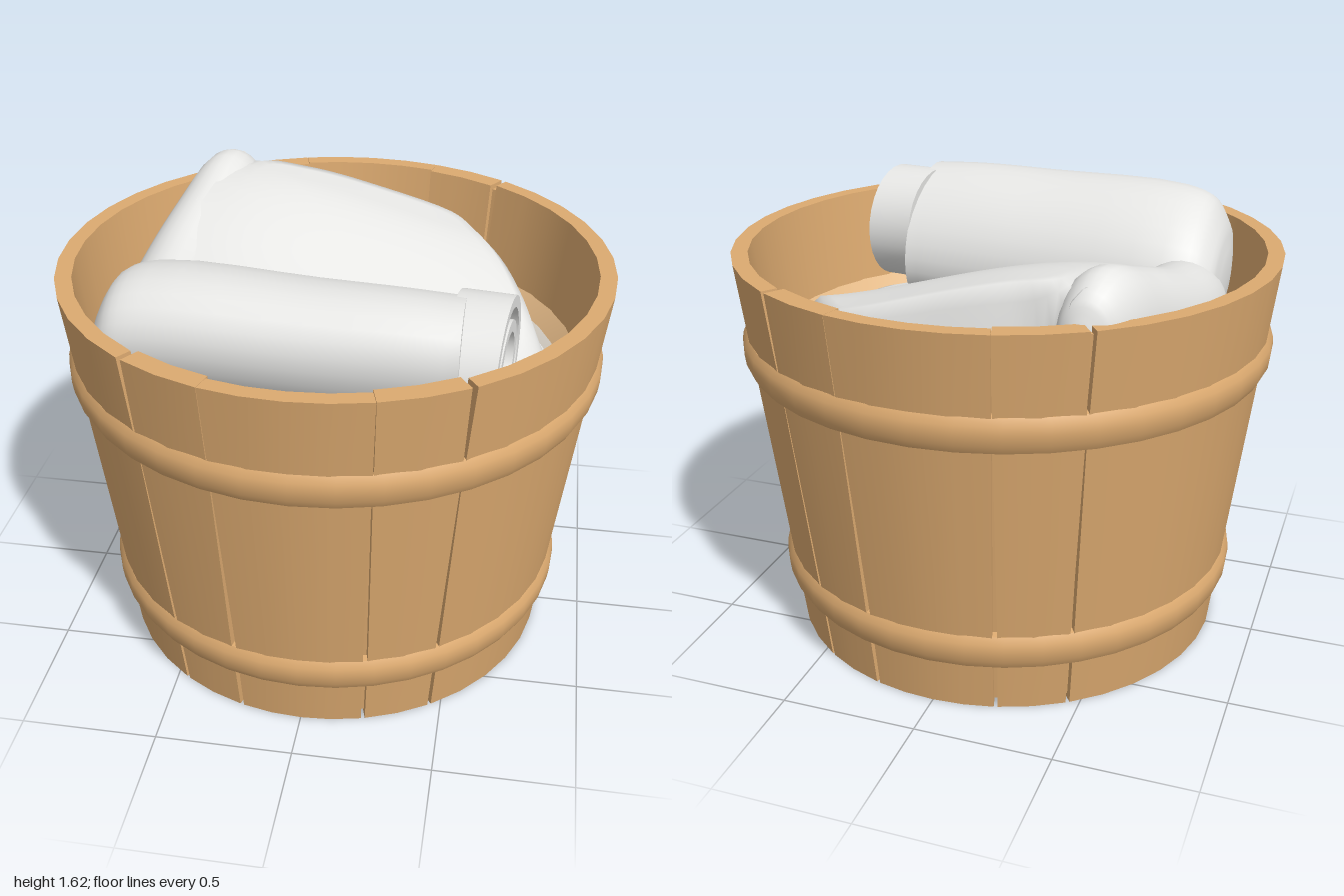
import * as THREE from 'three';
import { toCreasedNormals } from 'three/addons/utils/BufferGeometryUtils.js';

const mat = (name, color, side = THREE.FrontSide) => {
  const m = new THREE.MeshStandardMaterial({ color, side });
  m.name = name;
  return m;
};
const smooth = (a, b, v) => THREE.MathUtils.smoothstep(v, a, b);
const outerR = (y) => 0.82 + 0.122 * y;

function indexed(pos, idx, crease) {
  const g = new THREE.BufferGeometry();
  g.setAttribute('position', new THREE.Float32BufferAttribute(pos, 3));
  g.setIndex(idx);
  g.computeVertexNormals();
  return crease ? toCreasedNormals(g, crease) : g;
}

// Half-widths of the cracks (degrees) from bottom to top: open at the rim, or closed there
const openCrack = [0.5, 0.45, 0.15, 0.6], closedCrack = [0.5, 0.6, 0.12, 0.04];

// Curved board between two angles (degrees), with a tapering crack at each end
function staveGeometry(a0, a1, thick, crack0, crack1) {
  const ys = [0.01, 0.32, 1.07, 1.48];
  const loop = ys.map((y, k) => [outerR(y), y, k]);
  for (let k = 3; k >= 0; k--) loop.push([outerR(ys[k]) - thick, ys[k], k]);
  const n = Math.max(2, Math.round((a1 - a0) / 9)), L = loop.length;
  const pos = [], idx = [];
  for (let i = 0; i <= n; i++) {
    for (const [r, y, k] of loop) {
      const a = THREE.MathUtils.degToRad(THREE.MathUtils.lerp(a0 + crack0[k], a1 - crack1[k], i / n));
      pos.push(r * Math.sin(a), y, r * Math.cos(a));
    }
  }
  for (let i = 0; i < n; i++) {
    for (let j = 0; j < L; j++) {
      const a = i * L + j, b = i * L + (j + 1) % L;
      idx.push(a, a + L, b + L, a, b + L, b);
    }
  }
  const e = n * L;
  for (let j = 0; j < 3; j++) {
    const k = L - 1 - j;
    idx.push(j, j + 1, k - 1, j, k - 1, k);
    idx.push(e + j, e + k - 1, e + j + 1, e + j, e + k, e + k - 1);
  }
  return indexed(pos, idx, 0.6);
}

// Capped loft of ellipses along x or z: [position, centreY, centreSide, radiusSide, radiusY]
function loft(sections, axis, shear) {
  const n = 28, pos = [], idx = [];
  const curve = (k) => new THREE.CatmullRomCurve3(sections.map((s) => new THREE.Vector3(...k.map((i) => s[i]))));
  const mid = curve([0, 1, 2]), rad = curve([0, 3, 4]);
  const m = (sections.length - 1) * 4;
  for (let i = 0; i <= m; i++) {
    const c = mid.getPoint(i / m), r = rad.getPoint(i / m);
    for (let j = 0; j < n; j++) {
      const a = j / n * Math.PI * 2, dy = r.z * Math.sin(a);
      const side = c.z + r.y * Math.cos(a) + shear * dy, y = c.y + dy;
      if (axis === 'x') pos.push(c.x, y, side);
      else pos.push(side, y, c.x);
    }
  }
  for (let i = 0; i < m; i++) {
    for (let j = 0; j < n; j++) {
      const a = i * n + j, b = i * n + (j + 1) % n;
      idx.push(a, b, b + n, a, b + n, a + n);
    }
  }
  for (let j = 1; j < n - 1; j++) idx.push(0, j + 1, j, m * n, m * n + j, m * n + j + 1);
  return indexed(pos, idx, 0.9);
}

// Draped sheet: rings growing from the centre to a curved outline
function sheetGeometry() {
  const outline = [[-0.5, -0.74], [-0.3, -0.78], [0, -0.8], [0.42, -0.78], [0.54, -0.65], [0.7, -0.38],
    [0.81, -0.08], [0.79, 0.12], [0.7, 0.42], [0.1, 0.45], [-0.55, 0.35], [-0.6, -0.2]];
  const curve = new THREE.CatmullRomCurve3(outline.map(([x, z]) => new THREE.Vector3(x, 0, z)), true, 'centripetal');
  const n = 60, rings = 18, pts = curve.getPoints(n), pos = [], idx = [];
  const height = (x, z) => 1.58 - 0.25 * smooth(-0.5, 0.8, x) - 0.2 * smooth(-0.55, 0.2, z);
  for (let i = 0; i <= rings; i++) {
    const t = i / rings;
    for (let j = 0; j < n; j++) {
      const x = 0.08 + (pts[j].x - 0.08) * t, z = -0.2 + (pts[j].z + 0.2) * t;
      const edge = Math.pow(smooth(0.82, 1, t), 2) * smooth(-0.5, -0.3, x);
      pos.push(x, THREE.MathUtils.lerp(height(x, z), 1.03, edge), z);
    }
  }
  for (let i = 0; i < rings; i++) {
    for (let j = 0; j < n; j++) {
      const a = i * n + j, b = i * n + (j + 1) % n;
      idx.push(a, b + n, a + n, a, b, b + n);
    }
  }
  return indexed(pos, idx);
}

// Coiled strip seen at the open end of the roll
function coilGeometry() {
  const shape = new THREE.Shape(), n = 64, turns = 2.1;
  const point = (k, inset) => {
    const t = k / n, a = 4.2 - t * turns * Math.PI * 2, r = 0.275 - 0.17 * t - inset;
    return [r * Math.cos(a), r * Math.sin(a)];
  };
  shape.moveTo(...point(0, 0));
  for (let k = 1; k <= n; k++) shape.lineTo(...point(k, 0));
  for (let k = n; k >= 0; k--) shape.lineTo(...point(k, 0.04));
  const g = new THREE.ExtrudeGeometry(shape, { depth: 0.18, bevelEnabled: false });
  g.rotateY(Math.PI / 2);
  return toCreasedNormals(g, 0.7);
}

export function createModel() {
  const group = new THREE.Group();
  const wood = mat('wood', 0xdcaa70);
  const cloth = mat('white cloth', 0xe8e8e6, THREE.DoubleSide);
  const tan = mat('light wood', 0xe2b886, THREE.DoubleSide);
  const pale = mat('pale cloth edge', 0xe0d9ce, THREE.DoubleSide);
  const add = (name, geometry, material, parent = group) => {
    const m = new THREE.Mesh(geometry, material);
    m.name = name;
    parent.add(m);
    return m;
  };
  const lathe = (pts, seg = 40) =>
    toCreasedNormals(new THREE.LatheGeometry(pts.map((p) => new THREE.Vector2(...p)), seg), 0.7);

  // Bucket wall: boards around a thin core that closes the cracks
  const staves = new THREE.Group();
  staves.name = 'staves';
  group.add(staves);
  const cuts = [-34, -16, 16, 34, 146, 164, 196, 214, 326];
  const crack = (a) => (Math.abs(Math.sin(THREE.MathUtils.degToRad(a))) > 0.4 ? openCrack : closedCrack);
  for (let i = 0; i < cuts.length - 1; i++) {
    const [a, b] = [cuts[i], cuts[i + 1]];
    add('stave' + (i + 1), staveGeometry(a, b, i % 2 ? 0.06 : 0.075, crack(a), crack(b)), wood, staves);
  }
  add('wallCore', lathe([[outerR(0.03) - 0.028, 0.03], [outerR(1.46) - 0.028, 1.46],
    [outerR(1.46) - 0.055, 1.46], [outerR(0.03) - 0.055, 0.03], [outerR(0.03) - 0.028, 0.03]]), wood);
  const base = add('bucketBase', new THREE.CylinderGeometry(0.78, 0.77, 0.05, 40), wood);
  base.position.y = 0.07;

  // Rounded hoops
  for (const [name, y] of [['upperHoop', 1.07], ['lowerHoop', 0.2]]) {
    const r = outerR(y);
    add(name, lathe([[r - 0.02, y], [r + 0.012, y], [r + 0.028, y + 0.03], [r + 0.033, y + 0.07],
      [r + 0.03, y + 0.1], [r + 0.015, y + 0.125], [r - 0.01, y + 0.13]]), wood);
  }

  // Lining under the cloth, fading from wood to white
  add('liningEdge', lathe([[0.84, 1.06], [0.9, 1.12]]), tan);
  add('liningBorder', lathe([[0.81, 1.04], [0.84, 1.06]]), pale);
  add('lining', lathe([[0, 1], [0.5, 1.01], [0.81, 1.04]]), cloth);

  // Folded cloth
  add('drapedSheet', sheetGeometry(), cloth);
  add('sideFold', loft([
    [-0.79, 1.42, -0.5, 0.04, 0.05], [-0.76, 1.42, -0.51, 0.09, 0.13], [-0.64, 1.41, -0.53, 0.14, 0.21],
    [-0.4, 1.35, -0.57, 0.16, 0.21], [-0.1, 1.26, -0.615, 0.17, 0.21], [0.2, 1.22, -0.62, 0.17, 0.19],
    [0.45, 1.2, -0.58, 0.15, 0.13]], 'z', 0), cloth);

  // Rolled cloth with its open end on the left, leaning forward
  add('rolledCloth', loft([
    [-0.75, 1.3, 0.38, 0.1, 0.08], [-0.73, 1.31, 0.38, 0.22, 0.16], [-0.67, 1.34, 0.38, 0.27, 0.23],
    [-0.55, 1.36, 0.38, 0.29, 0.255], [0, 1.36, 0.43, 0.275, 0.26], [0.3, 1.36, 0.45, 0.26, 0.26],
    [0.5, 1.36, 0.46, 0.25, 0.25]], 'x', 0.35), cloth);
  const coil = add('rollEnd', coilGeometry(), cloth);
  coil.position.set(0.47, 1.36, 0.45);
  coil.rotation.y = -0.13;
  return group;
}
